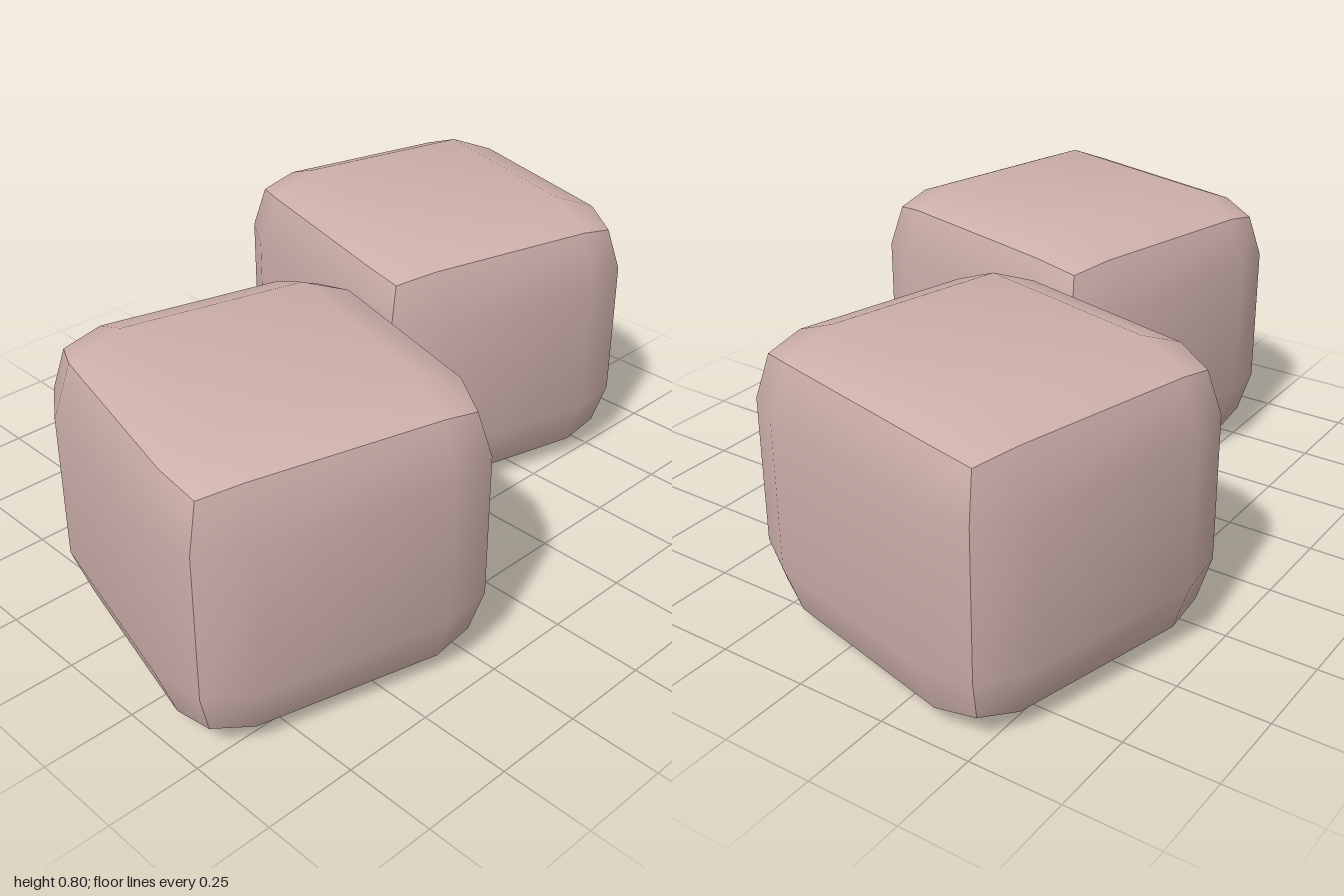
import * as THREE from 'three';

// per axis: face distance, flat half-width, edge distance, corner distance
const AXES = {
  x: { face: 0.458, flat: 0.265, edge: 0.406, corner: 0.382 },
  y: { face: 0.4, flat: 0.2, edge: 0.342, corner: 0.318 },
  z: { face: 0.437, flat: 0.25, edge: 0.387, corner: 0.358 },
};

// Box with pillowed faces: rims are pulled in at edges and more at corners
function pillowGeometry() {
  const geo = new THREE.BoxGeometry(2, 2, 2, 3, 3, 3);
  const pos = geo.attributes.position;
  const p = new THREE.Vector3();
  for (let i = 0; i < pos.count; i++) {
    p.fromBufferAttribute(pos, i);
    const keys = ['x', 'y', 'z'];
    const outer = keys.map((k) => Math.abs(p[k]) > 0.9);
    const level = ['flat', 'face', 'edge', 'corner'][outer.filter(Boolean).length];
    keys.forEach((k, j) => {
      p[k] = Math.sign(p[k]) * AXES[k][outer[j] ? level : 'flat'];
    });
    pos.setXYZ(i, p.x, p.y, p.z);
  }
  // sides do not share vertices, so the twelve edges stay creased
  geo.computeVertexNormals();
  return geo;
}

export function createModel() {
  const model = new THREE.Group();
  model.name = 'softCubes';
  const geo = pillowGeometry();
  const material = new THREE.MeshStandardMaterial({ color: 0xccaea9 });

  // two matching cubes, diagonally offset and turned alike
  for (const [name, s] of [['frontCube', 1], ['backCube', -1]]) {
    const cube = new THREE.Mesh(geo, material);
    cube.name = name;
    cube.position.set(0.205 * s, 0.4, 0.51 * s);
    cube.rotation.y = -0.245;
    model.add(cube);
  }
  return model;
}
